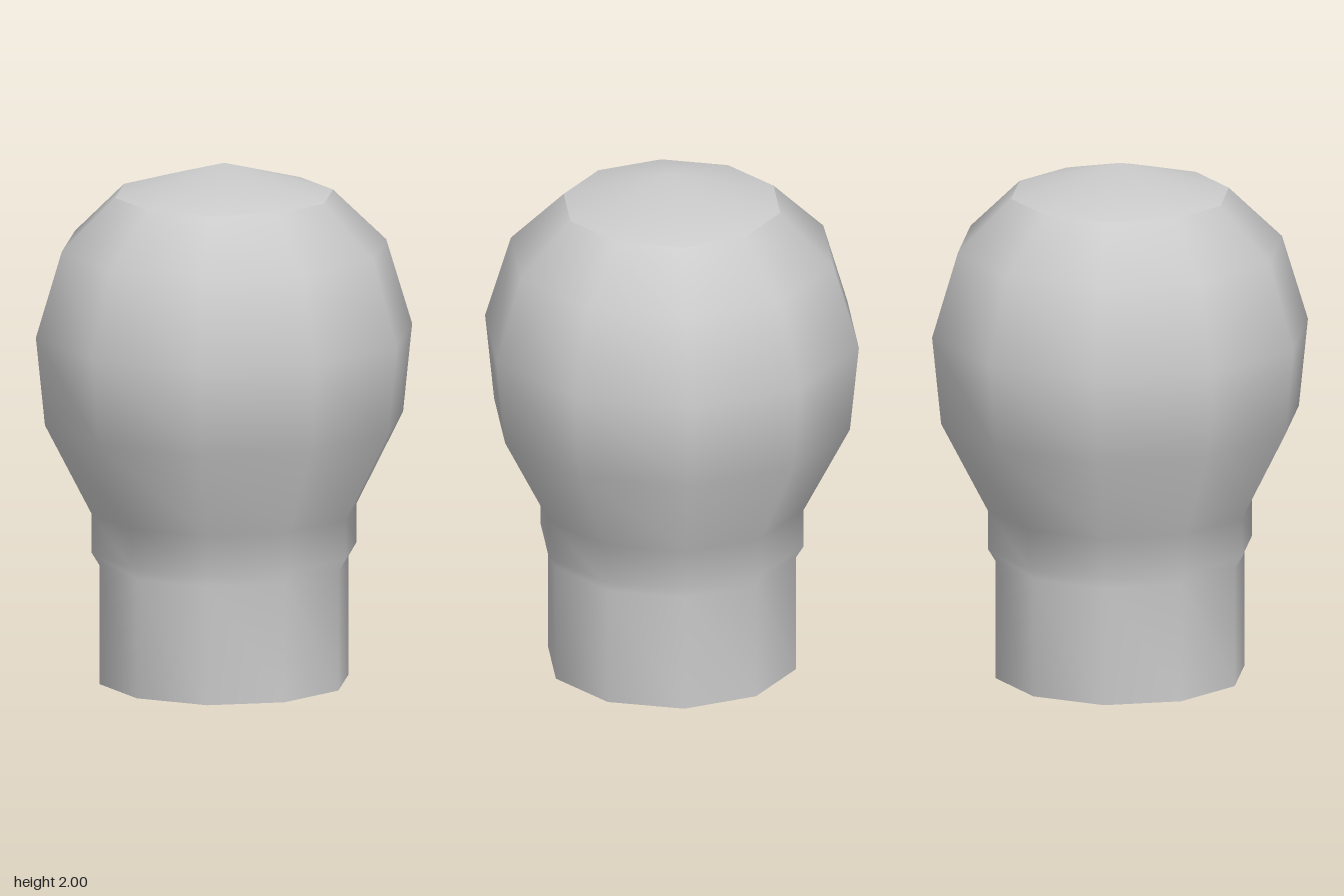
import * as THREE from 'three';
import { mergeVertices } from 'three/addons/utils/BufferGeometryUtils.js';

const SIDES = 10;
const material = new THREE.MeshStandardMaterial({ color: 0xcccccc });

// Ten-sided turned part, smooth within itself; profile is [radius, height] from bottom to top
function turned(name, profile) {
  const points = profile.map(([r, y]) => new THREE.Vector2(r, y));
  let geometry = new THREE.LatheGeometry(points, SIDES);
  geometry.deleteAttribute('uv');
  geometry.deleteAttribute('normal');
  geometry = mergeVertices(geometry, 1e-4);
  geometry.computeVertexNormals();
  const mesh = new THREE.Mesh(geometry, material);
  mesh.name = name;
  return mesh;
}

export function createModel() {
  const group = new THREE.Group();
  group.name = 'roundedKnob';

  // Flat underside
  group.add(turned('base', [[0, 0], [0.48, 0]]));

  // Stem, small collar and swelling head in one smooth wall
  group.add(turned('body', [
    [0.48, 0], [0.48, 0.46],
    [0.51, 0.51], [0.51, 0.66],
    [0.69, 1.01], [0.725, 1.35], [0.625, 1.68], [0.42, 1.88],
  ]));

  // Shallow pointed cap with a sharp rim
  group.add(turned('cap', [[0.42, 1.88], [0, 2]]));

  return group;
}
